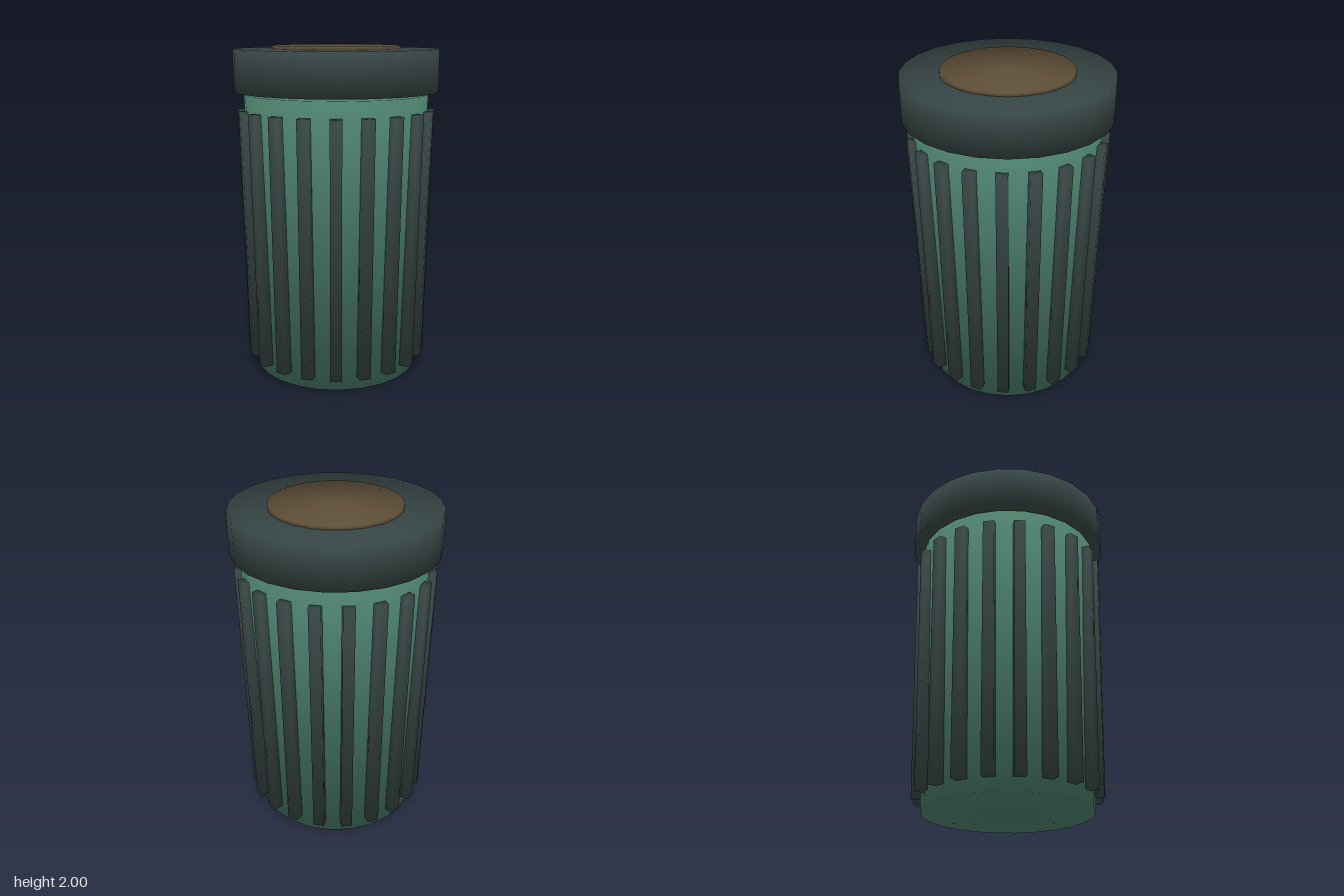
import * as THREE from 'three';

const SIDES = 24;
const material = (color) => new THREE.MeshStandardMaterial({ color });

// Closed frustum standing on y0, with soft normals that blend the wall into both caps
function softDrum(name, rTop, rBottom, y0, y1, mat) {
  const geo = new THREE.CylinderGeometry(rTop, rBottom, y1 - y0, SIDES);
  const pos = geo.attributes.position, normal = geo.attributes.normal;
  for (let i = 0; i < pos.count; i++) {
    const y = pos.getY(i), r = y > 0 ? rTop : rBottom;
    normal.setXYZ(i, 0.75 * pos.getX(i) / r, 0.66 * Math.sign(y), 0.75 * pos.getZ(i) / r);
  }
  geo.translate(0, (y0 + y1) / 2, 0);
  const mesh = new THREE.Mesh(geo, mat);
  mesh.name = name;
  return mesh;
}

// Upright slat with level ends, leaning outward with the wall and softly shaded
function slatGeometry(width, depth, y0, y1, rBottom, rTop) {
  const height = y1 - y0;
  const geo = new THREE.BoxGeometry(width, height, depth);
  const pos = geo.attributes.position, normal = geo.attributes.normal;
  const n = new THREE.Vector3();
  for (let i = 0; i < pos.count; i++) {
    const x = pos.getX(i), y = pos.getY(i), z = pos.getZ(i);
    n.set(Math.sign(x), Math.sign(y), Math.sign(z)).normalize();
    normal.setXYZ(i, n.x, n.y, n.z);
    pos.setXYZ(i, x, y + (y0 + y1) / 2, z + (y > 0 ? rTop : rBottom));
  }
  return geo;
}

export function createModel() {
  const model = new THREE.Group();
  model.name = 'litterBin';
  const green = material(0x4a7d69);
  const dark = material(0x364544);
  const brown = material(0x5d4e37);

  // Tapered bin body, overhanging lid and raised centre plate
  model.add(softDrum('body', 0.56, 0.505, 0, 1.715, green));
  model.add(softDrum('lid', 0.62, 0.62, 1.73, 1.98, dark));
  model.add(softDrum('lidPlate', 0.39, 0.39, 1.97, 2, brown));

  // Ring of slats around the body
  const slats = new THREE.Group();
  slats.name = 'slats';
  const slatGeo = slatGeometry(0.068, 0.06, 0.08, 1.62, 0.53, 0.566);
  const count = 20;
  for (let i = 0; i < count; i++) {
    const slat = new THREE.Mesh(slatGeo, dark);
    slat.name = 'slat';
    slat.rotation.y = (i / count) * Math.PI * 2;
    slats.add(slat);
  }
  model.add(slats);
  return model;
}
